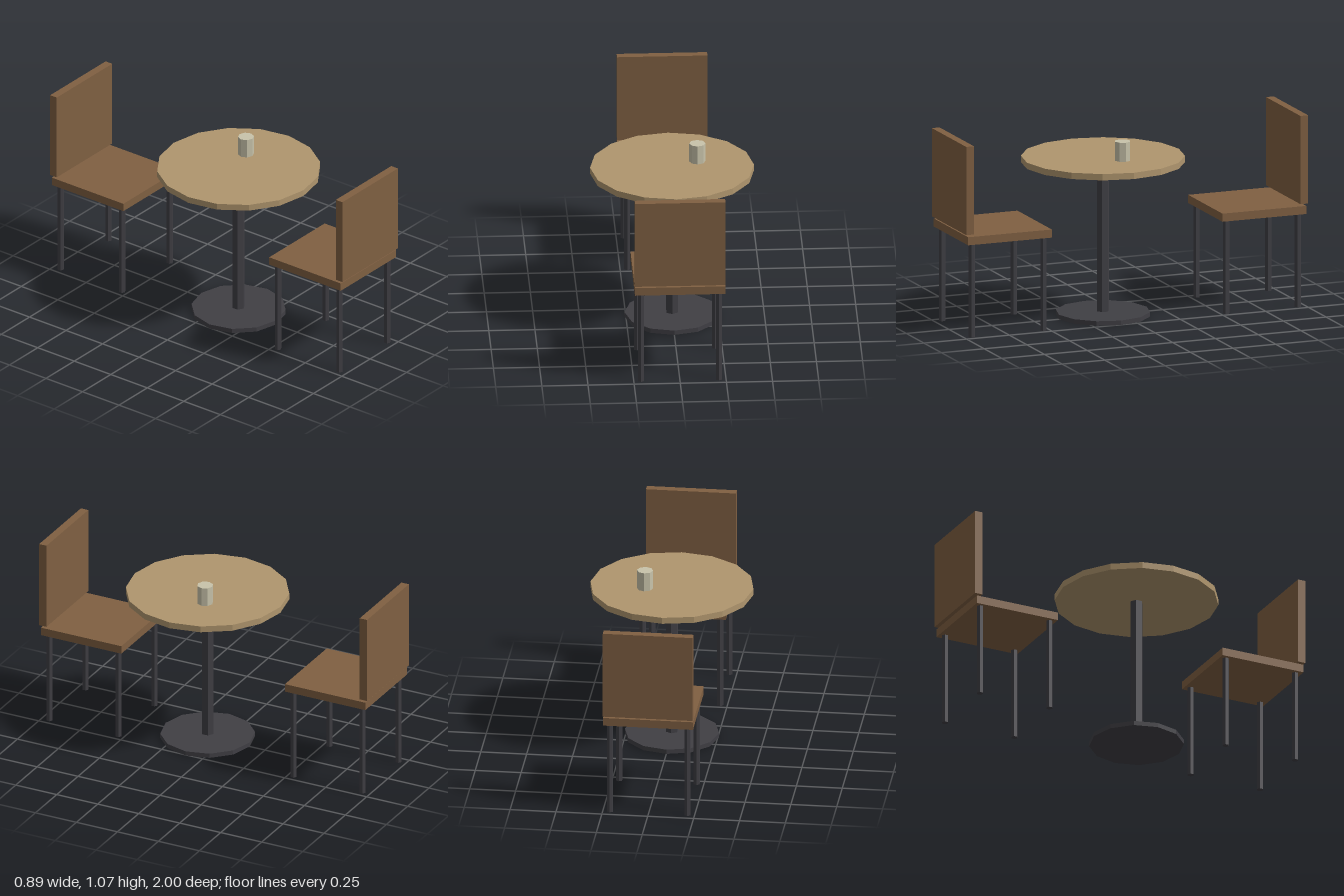
import * as THREE from 'three';

const material = (name, color) => {
  const m = new THREE.MeshStandardMaterial({ color, flatShading: true });
  m.name = name;
  return m;
};

export function createModel() {
  const chairWood = material('chairWood', 0x806042);
  const tableWood = material('tableWood', 0xb0966e);
  const metal = material('darkMetal', 0x403f44);
  const ceramic = material('paleCeramic', 0xc8c3aa);

  const add = (parent, name, geometry, mat, x, y, z) => {
    const mesh = new THREE.Mesh(geometry, mat);
    mesh.name = name;
    mesh.position.set(x, y, z);
    parent.add(mesh);
    return mesh;
  };
  // Upright faceted cylinder standing between two heights
  const column = (parent, name, r, sides, y0, y1, mat, x, z) =>
    add(parent, name, new THREE.CylinderGeometry(r, r, y1 - y0, sides), mat, x, (y0 + y1) / 2, z);

  const model = new THREE.Group();
  model.name = 'cafeTableSet';

  // Pedestal table with a cup on it
  const table = new THREE.Group();
  table.name = 'table';
  table.position.z = 0.1;
  column(table, 'tableBase', 0.257, 12, 0, 0.025, metal, 0, 0);
  column(table, 'tablePole', 0.035, 6, 0.025, 0.851, metal, 0, 0);
  column(table, 'tableTop', 0.444, 16, 0.851, 0.886, tableWood, 0, 0);
  column(table, 'cup', 0.044, 8, 0.886, 0.992, ceramic, 0.14, -0.058);
  model.add(table);

  // Two chairs facing each other across the table
  const makeChair = (name) => {
    const chair = new THREE.Group();
    chair.name = name;
    add(chair, 'seat', new THREE.BoxGeometry(0.49, 0.045, 0.49), chairWood, 0, 0.541, 0);
    add(chair, 'backrest', new THREE.BoxGeometry(0.49, 0.49, 0.045), chairWood, 0, 0.821, 0.2335);
    for (const x of [-0.211, 0.211])
      for (const z of [-0.21, 0.21])
        column(chair, 'chairLeg', 0.0185, 6, 0, 0.52, metal, x, z);
    return chair;
  };
  const frontChair = makeChair('frontChair');
  frontChair.position.z = 0.744;
  const backChair = makeChair('backChair');
  backChair.position.z = -0.744;
  backChair.rotation.y = Math.PI;
  model.add(frontChair, backChair);

  return model;
}
